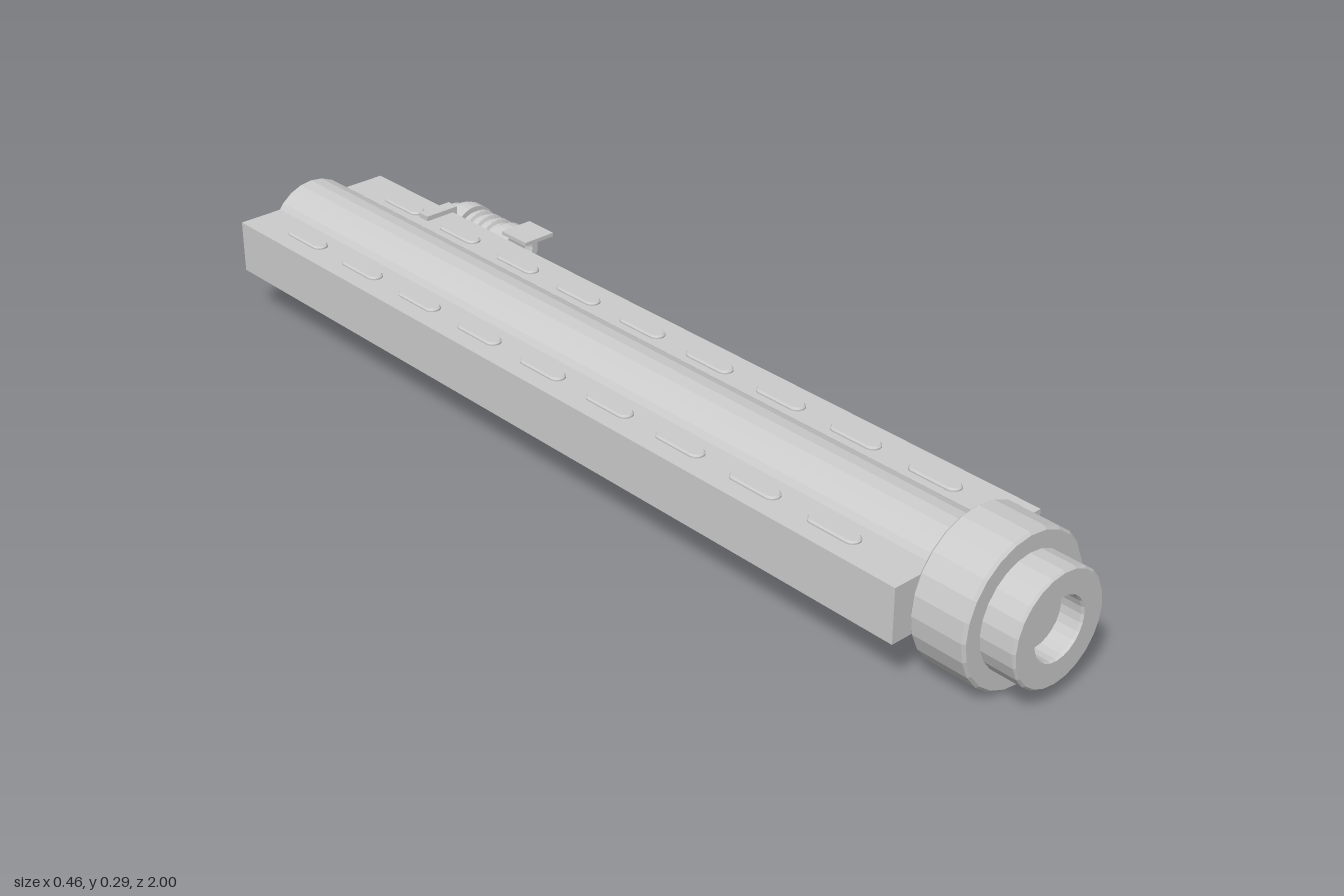
import * as THREE from 'three';

const CX = -0.054, CY = 0.148; // axis of the main tube
const LX = 0.176, LY = 0.152; // axis of the side lamp

export function createModel() {
  const model = new THREE.Group();
  const mat = new THREE.MeshStandardMaterial({ color: 0xcccccc, flatShading: true, side: THREE.DoubleSide });

  const add = (parent, name, geo, x = 0, y = 0, z = 0) => {
    const mesh = new THREE.Mesh(geo, mat);
    mesh.name = name;
    mesh.position.set(x, y, z);
    parent.add(mesh);
    return mesh;
  };
  const box = (parent, name, x0, x1, y0, y1, z0, z1) =>
    add(parent, name, new THREE.BoxGeometry(x1 - x0, y1 - y0, z1 - z0),
      (x0 + x1) / 2, (y0 + y1) / 2, (z0 + z1) / 2);
  // Profile of [radius, z] turned around the z axis
  const turned = (profile, sides) =>
    new THREE.LatheGeometry(profile.map(([r, z]) => new THREE.Vector2(r, z)), sides).rotateX(Math.PI / 2);

  // Main tube with a rail along each side
  add(model, 'mainTube', turned([[0, -1], [0.102, -1], [0.102, 0.83], [0, 0.83]], 24), CX, CY, 0);
  box(model, 'sideRails', -0.229, 0.12, 0.102, 0.209, -0.999, 0.81);

  // Rounded raised studs in a row on each rail
  const r = 0.016, half = 0.04;
  const pill = new THREE.Shape();
  pill.absarc(0, half, r, 0, Math.PI, false);
  pill.absarc(0, -half, r, Math.PI, Math.PI * 2, false);
  pill.closePath();
  const studGeo = new THREE.ExtrudeGeometry(pill, {
    depth: 0.004, bevelEnabled: true, bevelThickness: 0.003, bevelSize: 0.003,
    bevelOffset: -0.003, bevelSegments: 1, curveSegments: 8,
  }).rotateX(-Math.PI / 2);
  const studs = new THREE.Group();
  studs.name = 'railStuds';
  model.add(studs);
  for (const x of [-0.177, 0.065]) {
    for (let i = 0; i < 9; i++) add(studs, 'railStud', studGeo, x, 0.208, -0.84 + i * 0.1835);
  }

  // Wide collar and stepped muzzle with a round recess
  add(model, 'collar', turned([
    [0, 0.815], [0.14, 0.815], [0.145, 0.82], [0.145, 0.925], [0.14, 0.93], [0, 0.93],
  ], 24), CX, CY, 0);
  add(model, 'muzzle', turned([
    [0.108, 0.92], [0.108, 0.996], [0.104, 1], [0.06, 1], [0.058, 0.995], [0.058, 0.955], [0, 0.955],
  ], 24), CX, CY, 0);

  // Side lamp: ribbed body, tapering tail, recessed lens
  const lamp = new THREE.Group();
  lamp.name = 'sideLamp';
  model.add(lamp);
  const profile = [[0, -0.828], [0.03, -0.828], [0.036, -0.822], [0.04, -0.8]];
  for (let i = 0; i < 5; i++) {
    const z = -0.795 + i * 0.027;
    profile.push([0.041, z], [0.048, z + 0.003], [0.048, z + 0.012], [0.041, z + 0.015]);
  }
  profile.push([0.041, -0.652], [0.05, -0.648], [0.051, -0.615], [0.048, -0.605],
    [0.034, -0.605], [0.031, -0.61], [0.031, -0.625], [0, -0.625]);
  add(lamp, 'lampBody', turned(profile, 24), LX, LY, 0);
  add(lamp, 'tailPin', turned([[0, -0.842], [0.007, -0.84], [0.01, -0.834], [0.007, -0.82]], 10), LX - 0.036, LY, 0);
  add(lamp, 'tailButton', turned([[0, -0.836], [0.012, -0.836], [0.012, -0.82]], 12), LX, LY, 0);

  // Flat visor above the lens
  box(lamp, 'visor', 0.14, 0.212, 0.199, 0.207, -0.615, -0.54);

  // Bracket gripping the rail, with a ring around the lamp
  const z0 = -0.778, z1 = -0.75;
  const bracket = new THREE.Group();
  bracket.name = 'lampBracket';
  model.add(bracket);
  box(bracket, 'bracketTop', 0.055, 0.131, 0.209, 0.219, z0, z1);
  box(bracket, 'bracketBottom', 0.055, 0.131, 0.089, 0.099, z0, z1);
  box(bracket, 'bracketSide', 0.119, 0.131, 0.089, 0.219, z0, z1);
  add(bracket, 'lampRing', turned([[0.04, z0], [0.052, z0], [0.052, z1], [0.04, z1]], 24), LX, LY, 0);

  return model;
}
